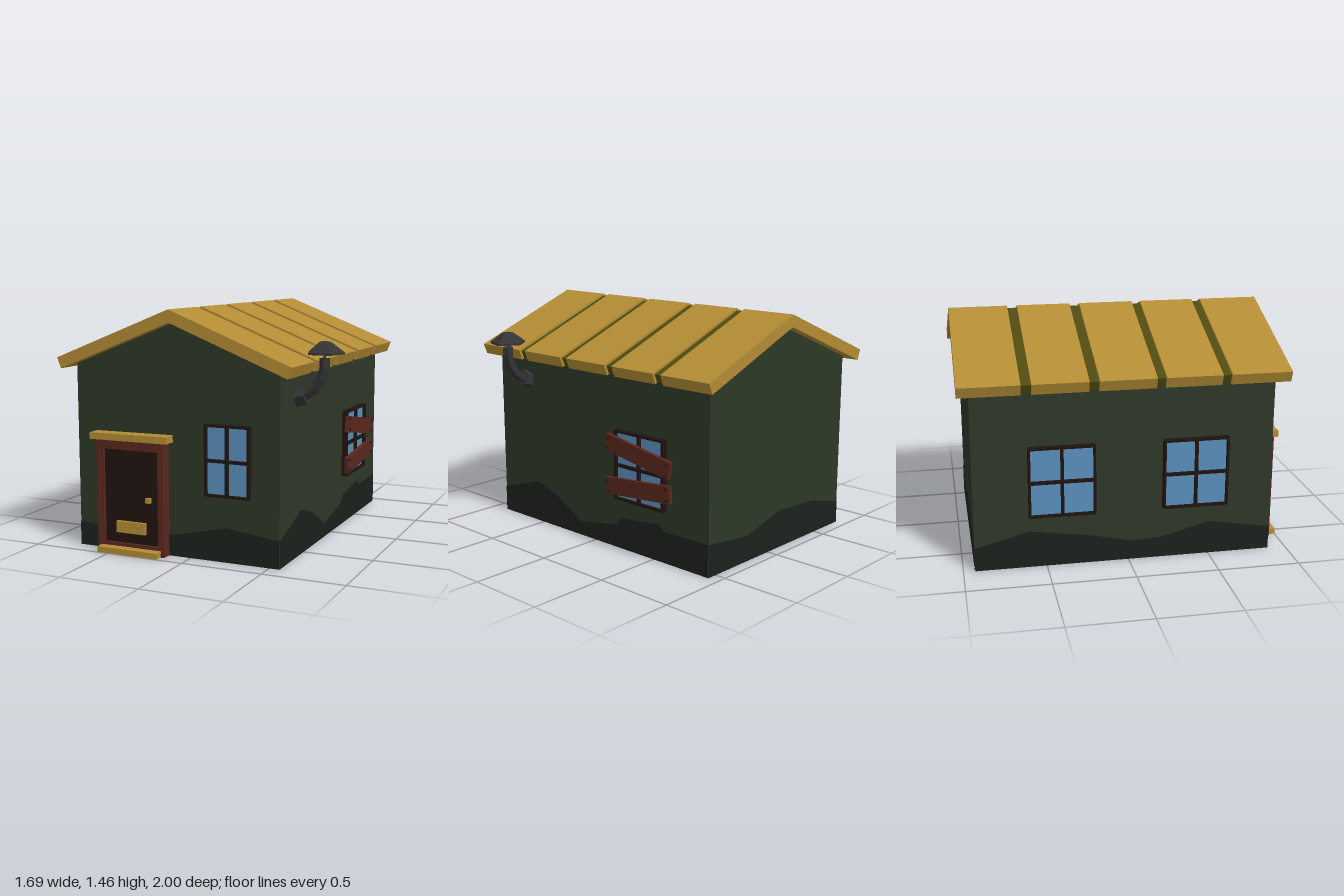
import * as THREE from 'three';

const CX = -0.095, FRONT = 0.885, BACK = -0.93, LEFT = 0.565, RIGHT = -0.755;
const mat = (color, side = THREE.FrontSide) =>
  new THREE.MeshStandardMaterial({ color, flatShading: true, side });
const M = {
  wall: mat(0x2d3827), base: mat(0x1c211d), baseThin: mat(0x1c211d, THREE.DoubleSide),
  roof: mat(0xb38c35), under: mat(0x4f4a10),
  wood: mat(0x5a271d), dark: mat(0x20130f), glass: mat(0x5b8fbd),
  metal: mat(0x343436, THREE.DoubleSide),
};

function add(parent, name, geo, material, x = 0, y = 0, z = 0) {
  const m = new THREE.Mesh(geo, material);
  m.name = name;
  m.position.set(x, y, z);
  parent.add(m);
  return m;
}

// Box given by its minimum and maximum corners
function block(parent, name, material, x0, x1, y0, y1, z0, z1) {
  return add(parent, name, new THREE.BoxGeometry(x1 - x0, y1 - y0, z1 - z0), material,
    (x0 + x1) / 2, (y0 + y1) / 2, (z0 + z1) / 2);
}

const shapeOf = pts => new THREE.Shape(pts.map(p => new THREE.Vector2(p[0], p[1])));
const extrude = (shape, depth) =>
  new THREE.ExtrudeGeometry(shape, { depth, bevelEnabled: false });

// Rectangle path used for outlines and openings
const rect = (x0, x1, y0, y1) => [[x0, y0], [x1, y0], [x1, y1], [x0, y1]];
function framed(outer, ...holes) {
  const s = shapeOf(outer);
  s.holes = holes.map(h => new THREE.Path(h.map(p => new THREE.Vector2(p[0], p[1])).reverse()));
  return s;
}

// Chevron across the ridge, swept along z
function chevron(peak, edge, edgeY, inPeak, inEdge, inY, depth) {
  return extrude(shapeOf([
    [-edge, edgeY], [-inEdge, inY], [0, inPeak], [inEdge, inY], [edge, edgeY], [0, peak],
  ]), depth);
}

// Four-pane window facing +z, origin at its centre on the wall
function makeWindow(name, w, h) {
  const g = new THREE.Group();
  g.name = name;
  const a = w / 2, b = h / 2, f = 0.014, m = 0.009;
  const holes = [];
  for (const [x0, x1] of [[-a + f, -m], [m, a - f]])
    for (const [y0, y1] of [[-b + f, -m], [m, b - f]]) holes.push(rect(x0, x1, y0, y1));
  add(g, 'windowFrame', extrude(framed(rect(-a, a, -b, b), ...holes), 0.038), M.dark);
  block(g, 'windowGlass', M.glass, -a + 0.005, a - 0.005, -b + 0.005, b - 0.005, 0, 0.018);
  return g;
}

function makeWalls() {
  const g = new THREE.Group();
  g.name = 'walls';
  const gable = shapeOf([[RIGHT, 0], [LEFT, 0], [LEFT, 1.123], [CX, 1.385], [RIGHT, 1.123]]);
  add(g, 'house', extrude(gable, FRONT - BACK), M.wall, 0, 0, BACK);
  block(g, 'floor', M.base, RIGHT, LEFT, 0, 0.004, BACK, FRONT).position.y -= 0.002;

  // Uneven dark foundation along each wall: [position along wall, height]
  const bands = {
    front: [[-0.755, 0.145], [-0.6, 0.14], [-0.1, 0.13], [0.235, 0.205], [0.565, 0.165]],
    back: [[-0.755, 0.145], [-0.45, 0.22], [-0.11, 0.24], [0.22, 0.16], [0.565, 0.2]],
    left: [[-0.93, 0.2], [-0.59, 0.195], [-0.54, 0.23], [-0.23, 0.195], [-0.19, 0.145],
      [0.13, 0.09], [0.365, 0.215], [0.55, 0.27], [0.885, 0.165]],
    right: [[-0.93, 0.145], [-0.6, 0.23], [-0.25, 0.18], [0.02, 0.12], [0.2, 0.13],
      [0.5, 0.21], [0.885, 0.145]],
  };
  for (const [side, top] of Object.entries(bands)) {
    const first = top[0][0], last = top[top.length - 1][0];
    const geo = new THREE.ShapeGeometry(shapeOf([[first, 0], [last, 0], ...[...top].reverse()]));
    const band = add(g, side + 'Foundation', geo, M.baseThin);
    if (side === 'front') band.position.z = FRONT + 0.003;
    if (side === 'back') band.position.z = BACK - 0.003;
    if (side === 'left' || side === 'right') {
      band.rotation.y = -Math.PI / 2;
      band.position.x = side === 'left' ? LEFT + 0.003 : RIGHT - 0.003;
    }
  }
  return g;
}

function makeRoof() {
  const g = new THREE.Group();
  g.name = 'roof';
  add(g, 'roofUnderlay', chevron(1.445, 0.735, 1.153, 1.388, 0.715, 1.104, 1.9), M.under, CX, 0, -0.97);
  const slabs = [[-1, -0.64], [-0.58, -0.25], [-0.19, 0.145], [0.2, 0.535], [0.59, 0.955]];
  for (const [z0, z1] of slabs)
    add(g, 'roofSlab', chevron(1.46, 0.755, 1.16, 1.385, 0.73, 1.095, z1 - z0), M.roof, CX, 0, z0);
  return g;
}

function makeDoor() {
  const g = new THREE.Group();
  g.name = 'door';
  const inner = rect(-0.57, -0.16, 0.02, 0.65), opening = rect(-0.55, -0.185, 0.055, 0.625);
  add(g, 'doorFrame', extrude(framed(rect(-0.59, -0.14, 0, 0.69), inner), 0.07), M.wood, 0, 0, FRONT);
  add(g, 'doorInnerFrame', extrude(framed(inner, opening), 0.058), M.wood, 0, 0, FRONT);
  block(g, 'doorPanel', M.dark, -0.56, -0.175, 0.04, 0.635, FRONT, 0.925);
  block(g, 'mailSlot', M.roof, -0.467, -0.272, 0.12, 0.19, 0.92, 0.945);
  block(g, 'knobStem', M.roof, -0.25, -0.235, 0.327, 0.342, 0.92, 0.945);
  block(g, 'knob', M.roof, -0.258, -0.228, 0.32, 0.35, 0.94, 0.962);
  block(g, 'doorStep', M.roof, -0.57, -0.165, 0, 0.035, FRONT, 1);
  const lintel = shapeOf([[-0.625, 0.682], [-0.11, 0.684], [-0.11, 0.726], [-0.625, 0.722]]);
  add(g, 'lintel', extrude(lintel, 0.085), M.roof, 0, 0, FRONT);
  return g;
}

// Two crooked planks with nails, in the window's own frame
function makeBoards() {
  const g = new THREE.Group();
  g.name = 'windowBoards';
  for (const [y, tilt] of [[0.097, -0.17], [-0.113, 0.085]]) {
    const plank = new THREE.Group();
    plank.name = 'plank';
    plank.position.set(0.01, y, 0);
    plank.rotation.z = tilt;
    block(plank, 'board', M.wood, -0.263, 0.263, -0.053, 0.053, 0.036, 0.06);
    for (const sx of [-1, 1]) for (const sy of [-1, 1]) {
      const nail = add(plank, 'nail', new THREE.CylinderGeometry(0.007, 0.007, 0.012, 6), M.dark,
        sx * 0.24, sy * 0.034, 0.063);
      nail.rotation.x = Math.PI / 2;
    }
    g.add(plank);
  }
  return g;
}

function makeStovePipe() {
  const g = new THREE.Group();
  g.name = 'stovePipe';
  const z = 0.615;
  const collar = add(g, 'pipeCollar', new THREE.CylinderGeometry(0.056, 0.062, 0.07, 5), M.metal, 0.583, 0.96, z);
  collar.rotation.set(0, 0, -Math.PI / 2 + 0.25);
  const path = new THREE.CatmullRomCurve3([[0.575, 0.955], [0.64, 0.985], [0.7, 1.045], [0.728, 1.11], [0.73, 1.185]]
    .map(([x, y]) => new THREE.Vector3(x, y, z)));
  add(g, 'pipe', new THREE.TubeGeometry(path, 5, 0.033, 5), M.metal);
  const lid = add(g, 'pipeEnd', new THREE.CircleGeometry(0.031, 5), M.metal, 0.73, 1.182, z);
  lid.rotation.x = -Math.PI / 2;
  add(g, 'capRod', new THREE.CylinderGeometry(0.008, 0.008, 0.06, 5), M.metal, 0.727, 1.205, z);
  const profile = [[0, 1.215], [0.115, 1.208], [0.113, 1.22], [0.035, 1.278], [0, 1.284]]
    .map(([r, y]) => new THREE.Vector2(r, y));
  const cap = add(g, 'rainCap', new THREE.LatheGeometry(profile, 5), M.metal, 0.727, 0, z);
  cap.rotation.y = Math.PI;
  return g;
}

export function createModel() {
  const model = new THREE.Group();
  model.name = 'cabin';
  model.add(makeWalls(), makeRoof(), makeDoor(), makeStovePipe());

  // Front window, boarded left window and two right windows
  const front = makeWindow('frontWindow', 0.28, 0.42);
  front.position.set(0.25, 0.6, FRONT);
  const left = makeWindow('boardedWindow', 0.4, 0.435);
  left.position.set(LEFT, 0.543, -0.407);
  left.rotation.y = Math.PI / 2;
  left.add(makeBoards());
  model.add(front, left);
  for (const z of [-0.405, 0.405]) {
    const w = makeWindow('sideWindow', 0.4, 0.435);
    w.position.set(RIGHT, 0.543, z);
    w.rotation.y = -Math.PI / 2;
    model.add(w);
  }
  return model;
}
